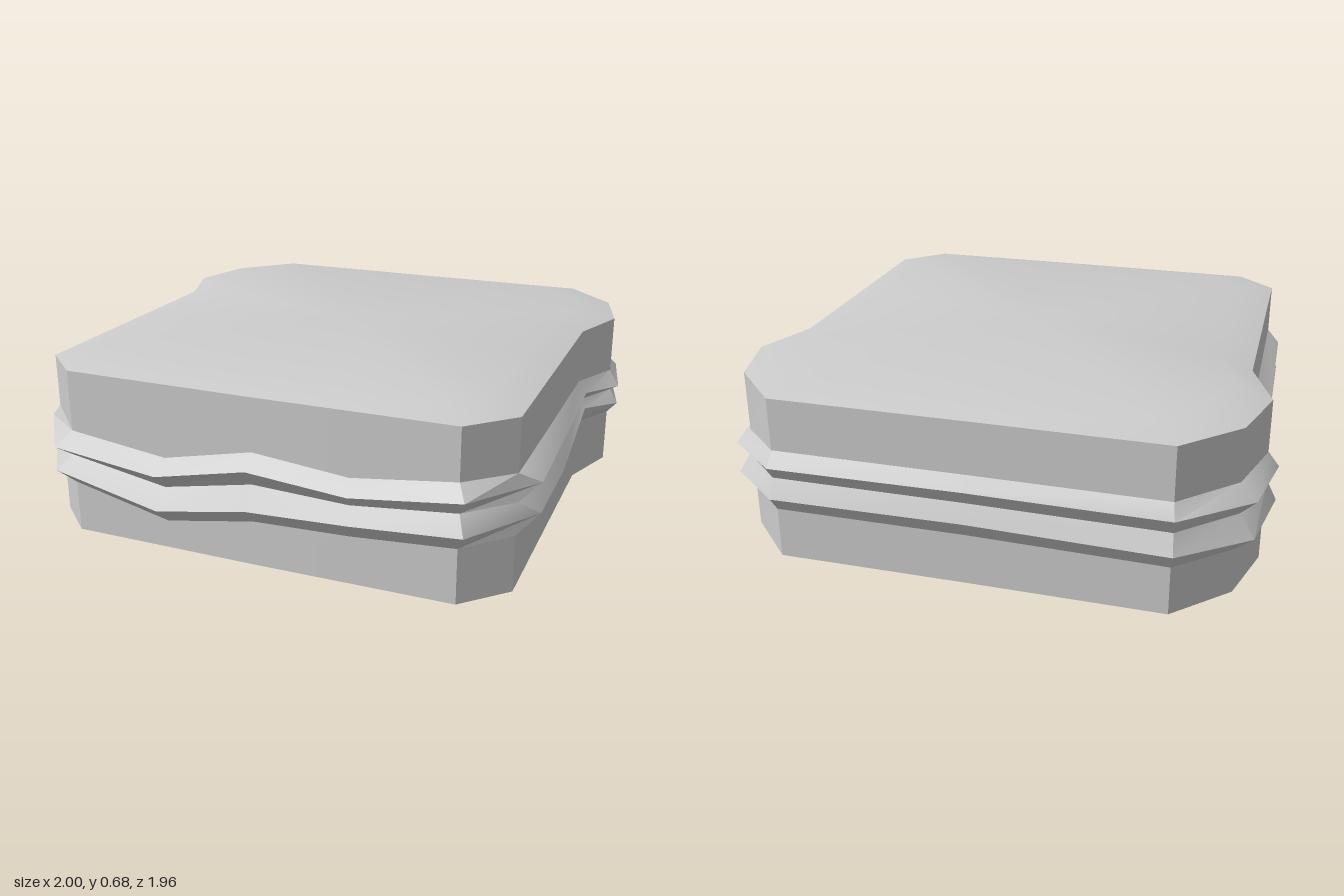
import * as THREE from 'three';
import { toCreasedNormals } from 'three/addons/utils/BufferGeometryUtils.js';

// Slice outline, anticlockwise from the front left:
// x, z, ridge x, ridge z, upper ridge height, lower ridge height
const OUTLINE = [
  [-0.72, 0.91, -0.76, 0.965, 0.37, 0.28],
  [-0.34, 0.915, -0.35, 0.975, 0.325, 0.195],
  [0, 0.92, 0, 0.975, 0.40, 0.255],
  [0.35, 0.92, 0.36, 0.968, 0.365, 0.265],
  [0.72, 0.92, 0.75, 0.965, 0.41, 0.29],
  [0.87, 0.77, 0.935, 0.70, 0.405, 0.295],
  [0.87, 0.25, 0.92, 0.25, 0.395, 0.26],
  [0.87, -0.25, 0.90, -0.26, 0.39, 0.325],
  [0.955, -0.49, 1.0, -0.44, 0.375, 0.30],
  [0.89, -0.74, 0.94, -0.76, 0.37, 0.25],
  [0.70, -0.935, 0.70, -0.98, 0.40, 0.28],
  [0, -0.935, 0, -0.97, 0.40, 0.28],
  [-0.70, -0.94, -0.71, -0.98, 0.40, 0.27],
  [-0.89, -0.75, -0.95, -0.78, 0.40, 0.26],
  [-0.96, -0.50, -1.0, -0.50, 0.40, 0.27],
  [-0.87, -0.25, -0.90, -0.27, 0.39, 0.28],
  [-0.87, 0.25, -0.93, 0.23, 0.37, 0.28],
  [-0.87, 0.77, -0.92, 0.75, 0.40, 0.285],
];

const ring = (fn) => OUTLINE.map((p) => new THREE.Vector3(...fn(p)));
const crustRing = (y, scale = 1) => ring(([x, z]) => [x * scale, y, z * scale]);

// Skins a stack of rings, listed from bottom to top, with optional flat caps
function skin(rings, capBottom, capTop) {
  const pos = [];
  const tri = (...pts) => pts.forEach((p) => pos.push(p.x, p.y, p.z));
  const n = OUTLINE.length;
  for (let i = 0; i < n; i++) {
    const j = (i + 1) % n;
    for (let k = 0; k < rings.length - 1; k++) {
      const a = rings[k], b = rings[k + 1];
      tri(a[i], a[j], b[j]);
      tri(a[i], b[j], b[i]);
    }
    if (capBottom) {
      const r = rings[0];
      tri(new THREE.Vector3(0, r[0].y, 0), r[j], r[i]);
    }
    if (capTop) {
      const r = rings[rings.length - 1];
      tri(new THREE.Vector3(0, r[0].y, 0), r[i], r[j]);
    }
  }
  const geo = new THREE.BufferGeometry();
  geo.setAttribute('position', new THREE.Float32BufferAttribute(pos, 3));
  return toCreasedNormals(geo, 0.55);
}

export function createModel() {
  const grey = new THREE.MeshStandardMaterial({ color: 0xcccccc, side: THREE.DoubleSide });
  grey.name = 'plainGrey';
  const model = new THREE.Group();
  model.name = 'sandwich';
  const add = (name, ...args) => {
    const mesh = new THREE.Mesh(skin(...args), grey);
    mesh.name = name;
    model.add(mesh);
  };

  // Wavy rings shared by the bread and the filling
  const breadLow = ring(([x, z, , , , d]) => [x, d - 0.06, z]);
  const ridgeLow = ring(([, , rx, rz, , d]) => [rx, d, rz]);
  const valley = ring(([x, z, , , b, d]) => [x * 1.005, b * 0.55 + d * 0.45, z * 1.005]);
  const ridgeHigh = ring(([, , rx, rz, b]) => [rx, b, rz]);
  const breadHigh = ring(([x, z, , , b]) => [x, b + 0.05, z]);

  // Slices with slightly domed outer faces
  add('bottomBread', [crustRing(0, 0.86), crustRing(0.03), breadLow], true, false);
  add('topBread', [breadHigh, crustRing(0.645), crustRing(0.675, 0.86)], false, true);

  // Two filling layers that jut out between the slices
  add('lowerFilling', [breadLow, ridgeLow, valley], false, false);
  add('upperFilling', [valley, ridgeHigh, breadHigh], false, false);
  return model;
}
